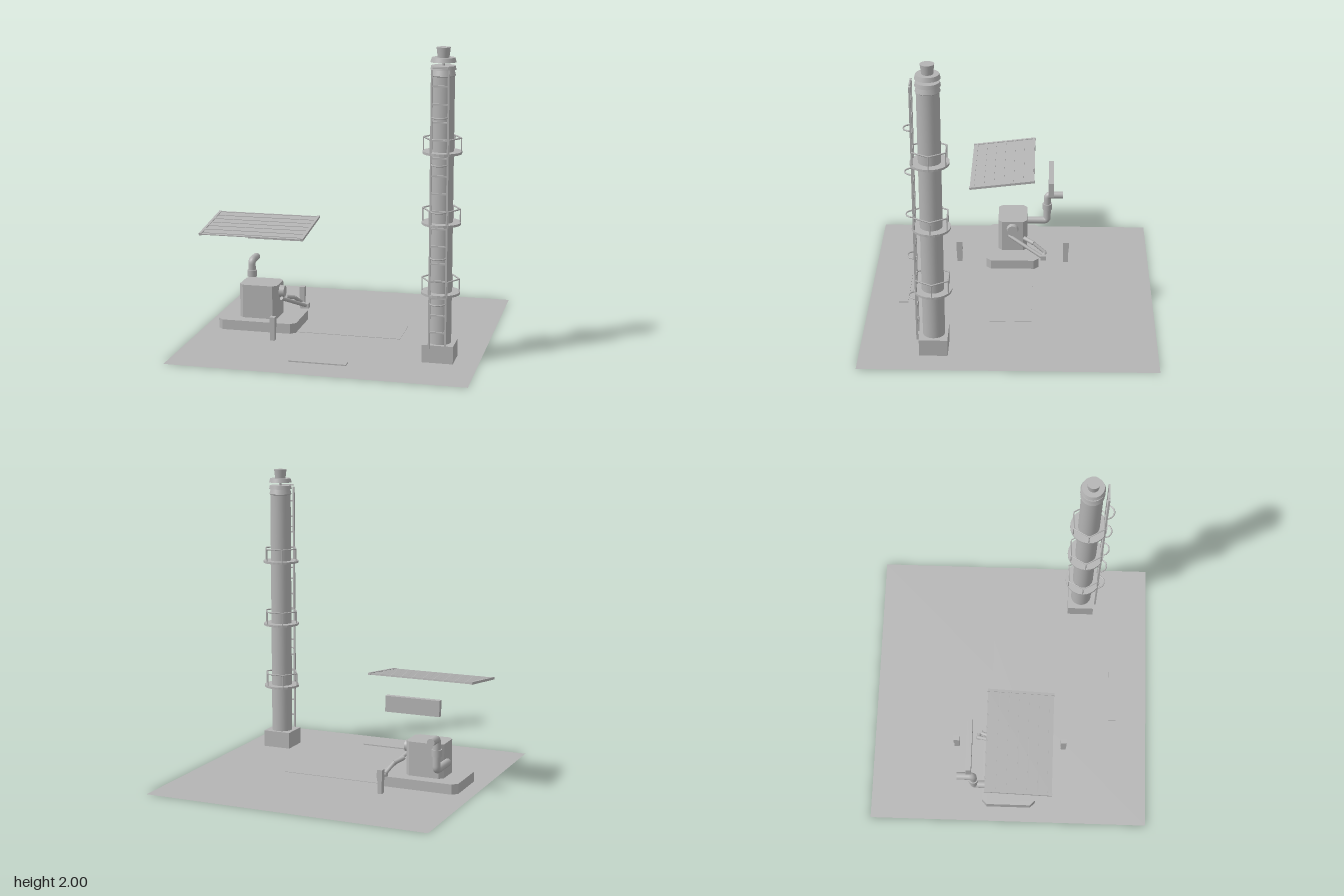
import * as THREE from 'three';

const grey = new THREE.MeshStandardMaterial({ color: 0xb4b4b4, side: THREE.DoubleSide });
grey.name = 'plain grey';

function add(parent, name, geometry, x = 0, y = 0, z = 0) {
  const mesh = new THREE.Mesh(geometry, grey);
  mesh.name = name;
  mesh.position.set(x, y, z);
  parent.add(mesh);
  return mesh;
}

function group(parent, name, x = 0, y = 0, z = 0) {
  const g = new THREE.Group();
  g.name = name;
  g.position.set(x, y, z);
  parent.add(g);
  return g;
}

const box = (w, h, d) => new THREE.BoxGeometry(w, h, d);
const cyl = (top, bottom, h, sides = 24) => new THREE.CylinderGeometry(top, bottom, h, sides);

// Straight round bar between two points
function bar(parent, name, a, b, r, sides = 12) {
  const from = new THREE.Vector3(...a), to = new THREE.Vector3(...b);
  const dir = to.clone().sub(from);
  const mesh = add(parent, name, cyl(r, r, dir.length(), sides));
  mesh.position.copy(from).add(to).multiplyScalar(0.5);
  mesh.quaternion.setFromUnitVectors(new THREE.Vector3(0, 1, 0), dir.normalize());
  return mesh;
}

// Upright block with its four vertical corners cut off
function chamferedBlock(w, h, d, c) {
  const x = w / 2, z = d / 2;
  const points = [[-x + c, -z], [x - c, -z], [x, -z + c], [x, z - c],
    [x - c, z], [-x + c, z], [-x, z - c], [-x, -z + c]];
  const shape = new THREE.Shape(points.map(([px, pz]) => new THREE.Vector2(px, pz)));
  return new THREE.ExtrudeGeometry(shape, { depth: h, bevelEnabled: false }).rotateX(-Math.PI / 2);
}

function buildChimney(root) {
  const chimney = group(root, 'chimney', 0.715, 0, 0.485);
  add(chimney, 'chimneyFooting', box(0.2, 0.115, 0.185), 0, 0.0625, 0);
  add(chimney, 'chimneyShaft', cyl(0.072, 0.072, 1.72, 32), 0, 0.97, 0);

  // Crown, cap and outlet
  add(chimney, 'crownTaper', cyl(0.078, 0.064, 0.012, 32), 0, 1.821, 0);
  add(chimney, 'crownBand', cyl(0.068, 0.078, 0.036, 32), 0, 1.845, 0);
  add(chimney, 'crownFlange', cyl(0.075, 0.08, 0.025, 32), 0, 1.875, 0);
  add(chimney, 'capStem', cyl(0.009, 0.009, 0.04), 0, 1.9, 0);
  add(chimney, 'cap', cyl(0.072, 0.08, 0.028, 32), 0, 1.923, 0);
  add(chimney, 'outlet', cyl(0.044, 0.036, 0.066, 24), 0, 1.967, 0);

  // Service platforms with hexagonal handrails
  const ringShape = new THREE.Shape().absarc(0, 0, 0.124, 0, Math.PI * 2);
  ringShape.holes.push(new THREE.Path().absarc(0, 0, 0.07, 0, Math.PI * 2, true));
  const deck = new THREE.ExtrudeGeometry(ringShape, { depth: 0.015, bevelEnabled: false, curveSegments: 12 })
    .rotateX(-Math.PI / 2);
  const handrail = new THREE.TorusGeometry(0.119, 0.005, 6, 6).rotateX(Math.PI / 2);
  for (const y of [0.44, 0.89, 1.34]) {
    const platform = group(chimney, 'platform', 0, y, 0);
    add(platform, 'platformDeck', deck);
    add(platform, 'handrail', handrail, 0, 0.1, 0);
    for (let i = 0; i < 6; i++) {
      const a = i * Math.PI / 3;
      add(platform, 'railPost', cyl(0.004, 0.004, 0.09, 6), 0.119 * Math.cos(a), 0.055, 0.119 * Math.sin(a));
    }
  }

  // Ladder with safety hoops
  const ladder = group(chimney, 'ladder', 0, 0, 0.105);
  for (const s of [-1, 1]) add(ladder, 'ladderRail', box(0.012, 1.77, 0.012), s * 0.052, 0.985, 0);
  for (let i = 0; i < 16; i++) {
    add(ladder, 'ladderRung', box(0.1, 0.01, 0.009), 0, 0.21 + i * 0.1115, 0);
  }
  const hoop = new THREE.TorusGeometry(0.047, 0.005, 6, 12, Math.PI).rotateX(Math.PI / 2);
  for (let i = 0; i < 5; i++) add(ladder, 'ladderHoop', hoop, 0, 0.4 + i * 0.295, 0.003);
}

function buildPump(root) {
  const pump = group(root, 'pumpUnit');
  add(pump, 'pumpPlinth', chamferedBlock(0.545, 0.068, 0.375, 0.035), -0.596, 0.002, 0);
  add(pump, 'pumpHousing', chamferedBlock(0.264, 0.23, 0.206, 0.028), -0.608, 0.07, 0.002);
  add(pump, 'roundCover', cyl(0.038, 0.043, 0.035).rotateZ(-Math.PI / 2), -0.46, 0.243, 0.002);

  // Hoses running to the nozzle
  bar(pump, 'longHose', [-0.46, 0.2, 0.03], [-0.35, 0.085, -0.215], 0.013);
  bar(pump, 'upperHose', [-0.46, 0.18, -0.08], [-0.42, 0.16, -0.15], 0.015);
  bar(pump, 'upperHose', [-0.42, 0.16, -0.15], [-0.39, 0.105, -0.23], 0.013);
  bar(pump, 'hoseEnd', [-0.4, 0.1, -0.23], [-0.35, 0.085, -0.22], 0.015);
  add(pump, 'nozzle', box(0.03, 0.035, 0.04), -0.347, 0.085, -0.22);

  // Exhaust pipe with two elbows and a collar
  const path = new THREE.CurvePath();
  const v = (y, z) => new THREE.Vector3(-0.752, y, z);
  path.add(new THREE.LineCurve3(v(0.172, -0.04), v(0.172, -0.22)));
  path.add(new THREE.QuadraticBezierCurve3(v(0.172, -0.22), v(0.172, -0.246), v(0.198, -0.246)));
  path.add(new THREE.LineCurve3(v(0.198, -0.246), v(0.354, -0.246)));
  path.add(new THREE.QuadraticBezierCurve3(v(0.354, -0.246), v(0.38, -0.246), v(0.38, -0.272)));
  path.add(new THREE.LineCurve3(v(0.38, -0.272), v(0.38, -0.358)));
  add(pump, 'exhaustPipe', new THREE.TubeGeometry(path, 60, 0.026, 16));
  add(pump, 'pipeCollar', cyl(0.034, 0.034, 0.045), -0.752, 0.288, -0.246);
  add(pump, 'pipeEnd', new THREE.CircleGeometry(0.026, 16).rotateY(Math.PI), -0.752, 0.38, -0.358);
  add(pump, 'pipeStart', new THREE.CircleGeometry(0.026, 16), -0.752, 0.172, -0.04);
}

function buildCanopy(root) {
  // Tilted ribbed roof, higher at the back
  const canopy = group(root, 'canopy', -0.594, 0.713, 0.07);
  canopy.rotation.x = 0.125;
  add(canopy, 'canopySheet', box(0.7, 0.006, 0.452));
  for (let i = 0; i < 7; i++) add(canopy, 'canopyRib', box(0.69, 0.013, 0.011), 0, 0, -0.214 + i * 0.069);
  for (const s of [-1, 1]) add(canopy, 'canopyEndBeam', box(0.018, 0.016, 0.456), s * 0.35, 0, 0);
}

export function createModel() {
  const root = new THREE.Group();
  root.name = 'industrialYard';

  // Yard surface and low plates
  add(root, 'ground', new THREE.PlaneGeometry(1.944, 1.944).rotateX(-Math.PI / 2));
  add(root, 'pavedStrip', box(0.74, 0.003, 0.282), 0.015, 0.003, -0.004);
  add(root, 'lowPlate', box(0.375, 0.008, 0.065), -0.021, 0.011, 0.736);

  buildChimney(root);
  buildPump(root);
  buildCanopy(root);

  // Blank board behind the pump
  add(root, 'signBoard', box(0.37, 0.105, 0.036), -0.597, 0.587, -0.272);

  // Bollards either side of the pump
  for (const s of [-1, 1]) {
    const bollard = group(root, 'bollard', -0.42, 0, s * 0.381);
    add(bollard, 'bollardFoot', box(0.03, 0.09, 0.036), 0, 0.06, 0);
    add(bollard, 'bollardHead', box(0.036, 0.075, 0.042), 0, 0.137, 0);
  }
  return root;
}
